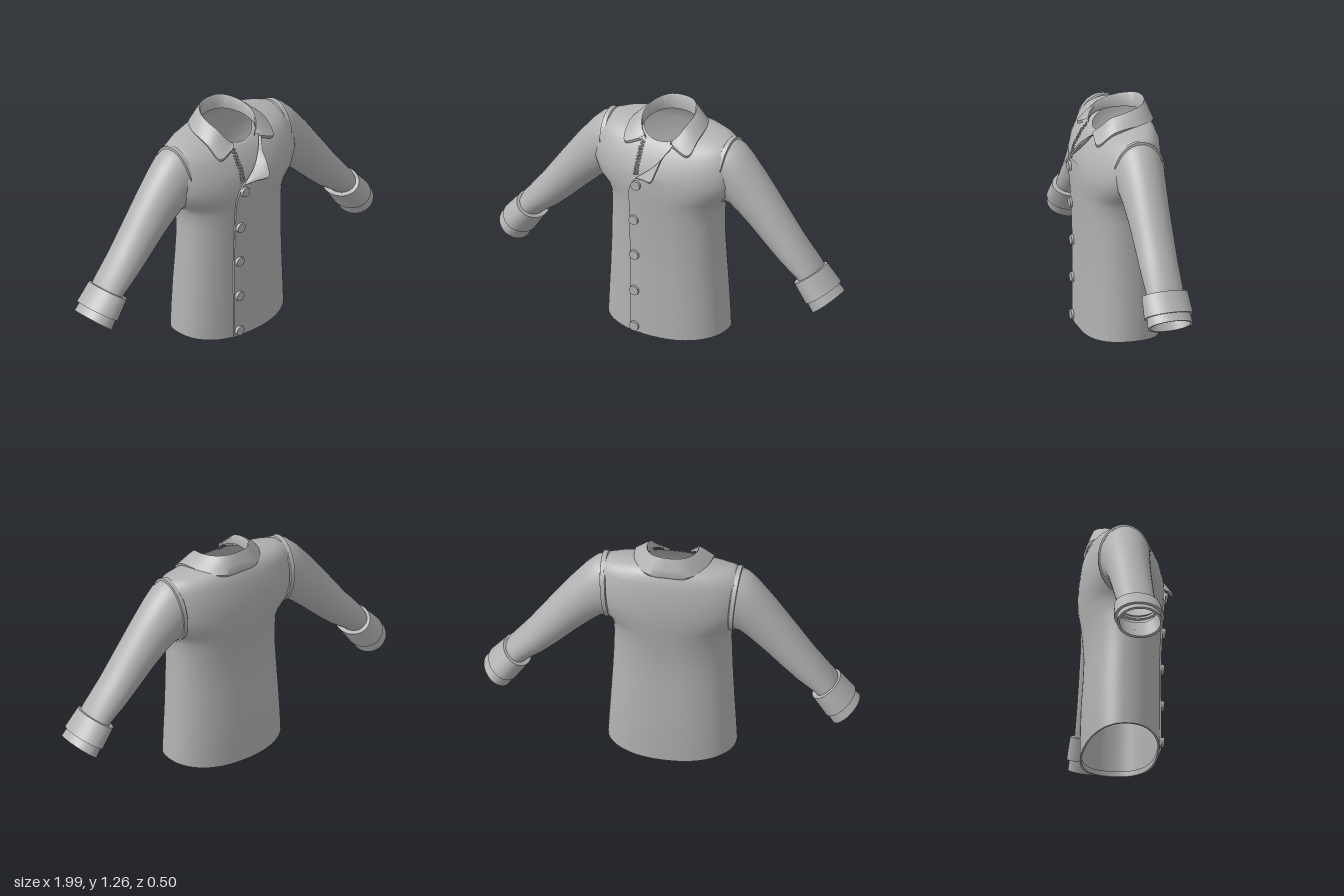
import * as THREE from 'three';
import { toCreasedNormals } from 'three/addons/utils/BufferGeometryUtils.js';

const cloth = new THREE.MeshStandardMaterial({ color: 0xb2b2b2, side: THREE.DoubleSide });
cloth.name = 'greyCloth';

// Skin a list of equally long point rows
function loft(rows, crease = 0.8) {
  const n = rows[0].length, pos = [], idx = [];
  rows.forEach(r => r.forEach(p => pos.push(...p)));
  for (let i = 0; i < rows.length - 1; i++) {
    for (let j = 0; j < n - 1; j++) {
      const a = i * n + j, b = a + n;
      idx.push(a, a + 1, b, a + 1, b + 1, b);
    }
  }
  const g = new THREE.BufferGeometry();
  g.setAttribute('position', new THREE.Float32BufferAttribute(pos, 3));
  g.setIndex(idx);
  return toCreasedNormals(g, crease);
}

// Torso sections: front y, back y, half width, front z, back z, roundness, lift at the sides
const BODY = [
  [0, 0, 0.34, 0.165, -0.24, 2.3, 0.03],
  [0.12, 0.12, 0.335, 0.165, -0.24, 2.3, 0.01],
  [0.3, 0.3, 0.325, 0.165, -0.235, 2.3, 0],
  [0.45, 0.45, 0.317, 0.165, -0.225, 2.3, 0],
  [0.57, 0.57, 0.312, 0.169, -0.22, 2.3, 0],
  [0.68, 0.68, 0.309, 0.174, -0.227, 2.3, 0],
  [0.76, 0.76, 0.312, 0.179, -0.236, 2.3, 0],
  [0.81, 0.81, 0.335, 0.182, -0.242, 2.3, 0],
  [0.86, 0.86, 0.39, 0.184, -0.247, 2.3, 0],
  [0.93, 0.93, 0.42, 0.181, -0.25, 2.3, 0],
  [1.0, 1.0, 0.42, 0.163, -0.245, 2.3, 0],
  [1.05, 1.1, 0.405, 0.135, -0.232, 2.2, 0.03],
  [1.08, 1.14, 0.365, 0.12, -0.218, 2.1, 0.03],
  [1.1, 1.165, 0.32, 0.105, -0.205, 2, 0.025],
  [1.115, 1.18, 0.2, 0.095, -0.195, 2, 0.02],
  [1.12, 1.19, 0.14, 0.085, -0.185, 2, 0.02],
];

function bodyRing([yf, yb, hw, zf, zb, e, lift], inset = 0, up = 0) {
  const ring = [], N = 72, zc = (zf + zb) / 2, hz = (zf - zb) / 2 - inset;
  for (let i = 0; i <= N; i++) {
    const a = (i % N) / N * Math.PI * 2, c = Math.cos(a), s = Math.sin(a);
    const x = (hw - inset) * Math.sign(c) * Math.abs(c) ** (2 / e);
    const k = Math.sign(s) * Math.abs(s) ** (2 / e);
    ring.push([x, yf + (yb - yf) * (1 - k) / 2 + lift * c * c + up, zc + hz * k]);
  }
  return ring;
}

// Depth of the torso front at (x, y)
function frontZ(x, y) {
  let i = 0;
  while (i < BODY.length - 2 && BODY[i + 1][0] < y) i++;
  const t = (y - BODY[i][0]) / (BODY[i + 1][0] - BODY[i][0]);
  const [, , hw, zf, zb, e] = BODY[i].map((v, k) => v + (BODY[i + 1][k] - v) * t);
  return (zf + zb) / 2 + (zf - zb) / 2 * (1 - Math.abs(x / hw) ** e) ** (1 / e);
}

// Sleeve section: top corner, bottom corner, half depth; side is +1 or -1
function sleeveRing([xt, yt, xb, yb, hz], side) {
  const ring = [], N = 40;
  for (let i = 0; i <= N; i++) {
    const a = (i % N) / N * Math.PI * 2, c = Math.cos(a) / 2;
    ring.push([side * ((xt + xb) / 2 + (xt - xb) * c), (yt + yb) / 2 + (yt - yb) * c,
      -0.06 + hz * Math.sin(a)]);
  }
  return ring;
}

const ARM = {
  Sleeve: [
    [0.365, 1.148, 0.332, 0.792, 0.133], [0.405, 1.132, 0.37, 0.785, 0.13],
    [0.46, 1.08, 0.42, 0.745, 0.122], [0.55, 0.97, 0.5, 0.672, 0.113],
    [0.66, 0.82, 0.59, 0.585, 0.107], [0.76, 0.68, 0.67, 0.513, 0.103],
    [0.868, 0.545, 0.757, 0.452, 0.1], [0.89, 0.5, 0.79, 0.42, 0.1],
  ],
  ArmholeSeam: [
    [0.34, 1.15, 0.31, 0.792, 0.134], [0.345, 1.158, 0.315, 0.784, 0.14],
    [0.37, 1.158, 0.336, 0.782, 0.141], [0.372, 1.145, 0.338, 0.792, 0.131],
  ],
  Cuff: [
    [0.862, 0.51, 0.777, 0.444, 0.098], [0.893, 0.524, 0.749, 0.43, 0.124],
    [0.973, 0.433, 0.818, 0.328, 0.132], [0.96, 0.425, 0.83, 0.337, 0.115],
  ],
  CuffLining: [
    [0.95, 0.44, 0.815, 0.345, 0.117], [0.997, 0.393, 0.856, 0.278, 0.121],
    [0.987, 0.387, 0.866, 0.286, 0.108], [0.9, 0.48, 0.785, 0.4, 0.098],
  ],
};

// Collar half from centre back to front: fold line and outer edge
const FOLD = [[0, 1.265, -0.185], [0.07, 1.262, -0.17], [0.115, 1.25, -0.12], [0.135, 1.235, -0.05],
  [0.128, 1.21, 0.03], [0.105, 1.165, 0.075], [0.075, 1.135, 0.095]];
const EDGE = [[0, 1.17, -0.22], [0.1, 1.17, -0.212], [0.175, 1.172, -0.145], [0.203, 1.174, -0.05],
  [0.207, 1.155, 0.035], [0.188, 1.092, 0.118], [0.095, 1.127, 0.118]];

const curve = pts => new THREE.CatmullRomCurve3(pts.map(p => new THREE.Vector3(...p)));
const mirrored = h => curve([...h.slice(1).reverse().map(([x, y, z]) => [-x, y, z]), ...h]);
const mix = (a, b, t, dy = 0, dz = 0) =>
  [a.x + (b.x - a.x) * t, a.y + (b.y - a.y) * t + dy, a.z + (b.z - a.z) * t + dz];

function collarGeometry() {
  const fold = mirrored(FOLD), edge = mirrored(EDGE), rows = [];
  for (let i = 0; i <= 72; i++) {
    const f = fold.getPoint(i / 72), e = edge.getPoint(i / 72);
    const drop = Math.max(0.02, (f.y - 1.12) * 0.6);
    rows.push([
      [f.x * 0.97, f.y - drop, f.z * 0.98],
      [f.x * 0.96, f.y - 0.006, f.z * 0.97],
      [f.x, f.y, f.z],
      mix(f, e, 0.3, 0.004), mix(f, e, 0.65, 0.002), [e.x, e.y, e.z],
      [e.x * 0.98, e.y - 0.014, e.z * 0.97],
    ]);
  }
  return loft(rows, 0.9);
}

// Turned-back flap below the collar
function lapelGeometry() {
  const fold = curve([[0.11, 1.16, 0.085], [0.075, 1.09, 0.125], [0.04, 1.04, 0.152],
    [0.005, 1.0, 0.17], [-0.04, 0.962, 0.182], [-0.08, 0.93, 0.186]]);
  const edge = curve([[0.105, 1.122, 0.115], [0.066, 1.075, 0.168], [0.052, 1.01, 0.222],
    [0.036, 0.96, 0.25], [-0.02, 0.945, 0.222], [-0.08, 0.928, 0.192]]);
  const rows = [];
  for (let i = 0; i <= 30; i++) {
    const t = i / 30, f = fold.getPoint(t), e = edge.getPoint(t), b = 0.012 * Math.sin(Math.PI * t);
    rows.push([mix(f, e, 0), mix(f, e, 0.35, 0, b), mix(f, e, 0.7, 0, b * 0.8), mix(f, e, 1),
      mix(f, e, 0.97, -b, -b * 0.6)]);
  }
  return loft(rows, 0.9);
}

// Overlapping front edge, raised at its free side
function placketGeometry() {
  const rows = [];
  for (let i = 0; i <= 40; i++) {
    const y = 0.006 + 0.929 * i / 40;
    const x0 = -0.13 + 0.055 * Math.max(0, (y - 0.82) / 0.115) ** 2;
    const row = [[x0, y, frontZ(x0, y) - 0.002]];
    for (let k = 0; k <= 6; k++) {
      const x = x0 + (0.12 - x0) * k / 6;
      row.push([x, y, frontZ(x, y) + 0.009 - 0.011 * k / 6]);
    }
    rows.push(row);
  }
  return loft(rows, 0.7);
}

// Zigzag fastening at the neck
function zipperGeometry() {
  const path = new THREE.CurvePath(), pts = [];
  for (let i = 0; i <= 22; i++) {
    const y = 0.945 + 0.165 * i / 22, x = -0.085 + (i % 2 ? 0.015 : -0.015);
    pts.push(new THREE.Vector3(x, y, frontZ(x, y) + 0.007));
  }
  for (let i = 0; i < 22; i++) path.add(new THREE.LineCurve3(pts[i], pts[i + 1]));
  return new THREE.TubeGeometry(path, 132, 0.004, 5);
}

export function createModel() {
  const group = new THREE.Group();
  group.name = 'jacket';
  const add = (name, geometry) => {
    const m = new THREE.Mesh(geometry, cloth);
    m.name = name;
    group.add(m);
    return m;
  };

  add('torso', loft(BODY.map(r => bodyRing(r)), 1.2));
  add('hem', loft([bodyRing(BODY[0]), bodyRing(BODY[0], 0.01), bodyRing(BODY[0], 0.01, 0.03)]));
  add('collar', collarGeometry());
  add('lapel', lapelGeometry());
  add('placket', placketGeometry());
  add('zipper', zipperGeometry());

  for (const [side, prefix] of [[1, 'left'], [-1, 'right']]) {
    for (const [part, rings] of Object.entries(ARM)) {
      add(prefix + part, loft(rings.map(r => sleeveRing(r, side))));
    }
  }

  // Buttons down the placket
  const disc = new THREE.CylinderGeometry(0.026, 0.028, 0.02, 24).rotateX(Math.PI / 2);
  for (const [x, y] of [[-0.1, 0.04], [-0.1, 0.25], [-0.1, 0.46], [-0.1, 0.67], [-0.08, 0.885]]) {
    add('button', disc).position.set(x, y, frontZ(x, y) + 0.011);
  }
  return group;
}
